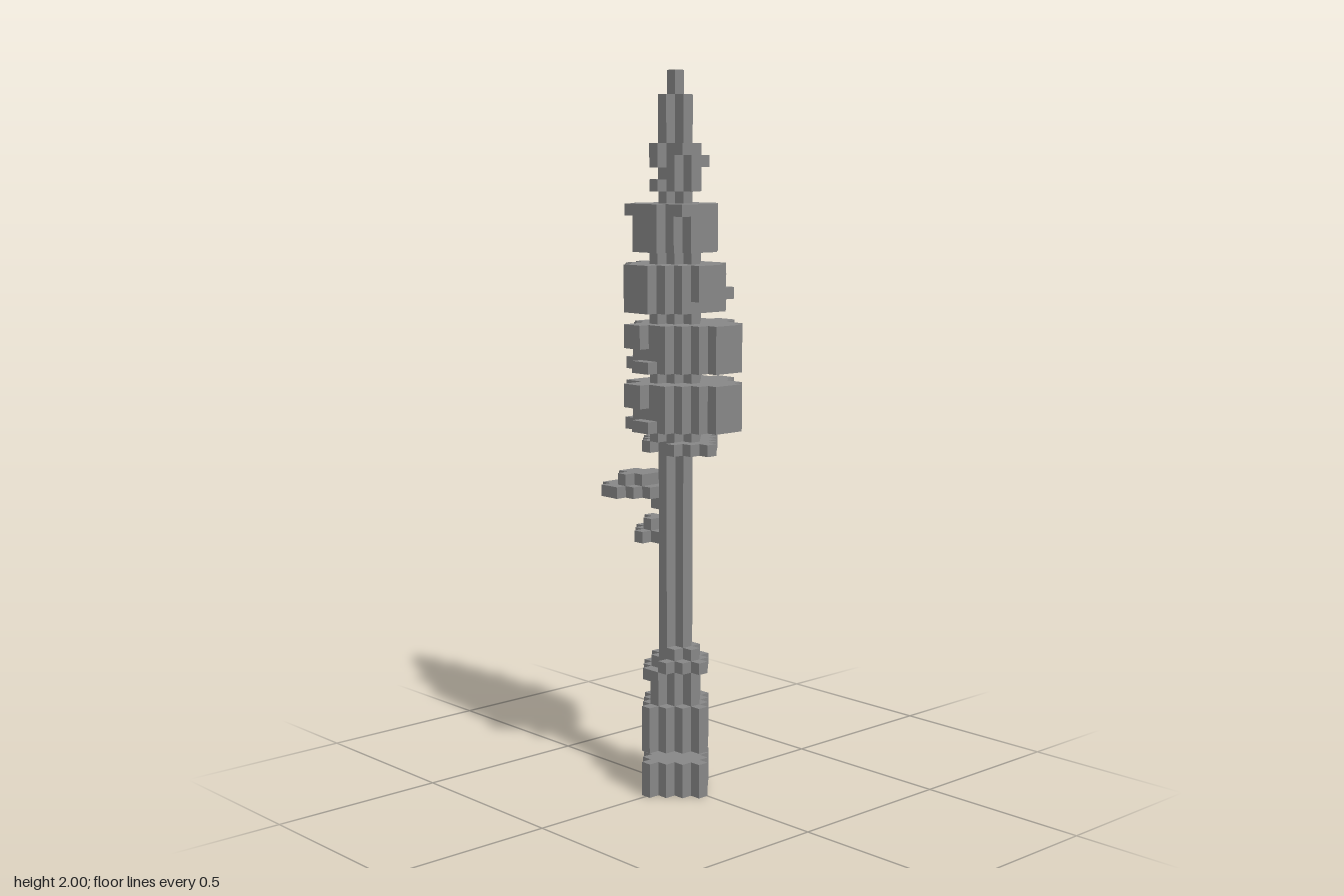
import * as THREE from 'three';

// Voxel tree: cell (i, j, k) is one small cube; i = k = 0 is the trunk axis.
const U = 2 / 62;
const SIDES = [
  [1, 0, 0], [-1, 0, 0], [0, 1, 0], [0, -1, 0], [0, 0, 1], [0, 0, -1],
];

export function createModel() {
  const group = new THREE.Group();
  const bark = new THREE.MeshStandardMaterial({ color: 0x888888 });
  bark.name = 'grey';

  const cells = new Map(); // "i,j,k" -> part name
  const key = (i, j, k) => `${i},${j},${k}`;
  const put = (part, i, j, k) => {
    if (!cells.has(key(i, j, k))) cells.set(key(i, j, k), part);
  };

  // Stepped diamond prism centred on (ci, ck), layers j0..j1
  const diamond = (part, ci, ck, r, j0, j1 = j0) => {
    for (let j = j0; j <= j1; j++)
      for (let i = -r; i <= r; i++)
        for (let k = -r; k <= r; k++)
          if (Math.abs(i) + Math.abs(k) <= r) put(part, ci + i, j, ck + k);
  };

  // Prism from rows of [first i, last i], starting at row k0
  const slab = (part, j0, j1, k0, rows) => {
    for (let j = j0; j <= j1; j++)
      rows.forEach(([a, b], n) => {
        for (let i = a; i <= b; i++) put(part, i, j, k0 + n);
      });
  };

  // Small seeded bumps on the sides of a tier, kept inside given limits
  let seed = 7;
  const rand = () => (seed = (seed * 16807) % 2147483647) / 2147483647;
  const bumps = (part, j0, j1, [iMin, iMax, kMin, kMax], chance) => {
    const added = [];
    for (let j = j0; j <= j1; j++)
      for (let i = iMin; i <= iMax; i++)
        for (let k = kMin; k <= kMax; k++) {
          if (cells.has(key(i, j, k))) continue;
          const touching = SIDES.some(([x, y, z]) => y === 0 && cells.has(key(i + x, j, k + z)));
          if (touching && rand() < chance) added.push([i, j, k]);
        }
    added.forEach((c) => put(part, ...c));
  };

  // Base and trunk
  diamond('base', 0, 0, 3, 0, 2);
  diamond('lowerTrunk', 0, 0, 3, 4, 7);
  diamond('lowerTrunk', 0, 0, 2, 8, 10);
  diamond('trunk', 0, 0, 1, 11, 59);

  // Shelves around the trunk, each a wide plate under a smaller one
  for (const [ci, ck, j] of [[0, 1, 11], [0, -1, 10], [0, -2, 22]]) {
    diamond('shelf', ci, ck, 2, j);
    diamond('shelf', ci, ck, 1, j + 1);
  }
  diamond('shelf', 0, -1, 1, 25);
  slab('shelf', 26, 26, -5, [[-3, 0], [-4, 1], [-4, 1], [-3, 1], [-2, 0]]);
  slab('shelf', 27, 27, -4, [[-2, -1], [-3, 0], [-2, 0]]);

  // Ragged underside of the crown
  diamond('crownUnderside', 2, 0, 2, 30);
  diamond('crownUnderside', 0, 2, 2, 30);
  diamond('crownUnderside', 0, -1, 2, 30);

  // Narrow necks between the tiers
  for (const j of [31, 36, 41, 46]) diamond('neck', 0, 0, 2, j);

  // Two widest tiers
  const wide = [[-1, 2], [-2, 3], [-3, 4], [-3, 5], [-3, 5], [-3, 4], [-2, 3], [-1, 3], [0, 2]];
  for (const j of [32, 37]) {
    slab('wideTier', j, j + 3, -3, wide.map(([a, b], n) => {
      if (n < 2) return [a, Math.min(b, 2)];
      return [a, b];
    }));
    slab('wideTier', j, j, 0, [[-4, -4], [-4, -4]]);
    slab('wideTier', j + 2, j + 3, -1, [[-4, -4], [-4, -4]]);
    slab('wideTier', j + 1, j + 2, -4, [[0, 0]]);
    bumps('wideTier', j, j + 3, [-3, 3, -3, 3], 0.16);
  }

  // Middle tier
  slab('middleTier', 42, 45, -3, [[-2, 1], [-3, 2], [-4, 3], [-4, 3], [-4, 3], [-3, 3], [-2, 2]]);
  slab('middleTier', 43, 45, 4, [[-1, 1]]);
  slab('middleTier', 43, 44, 0, [[4, 4], [4, 4]]);
  slab('middleTier', 43, 43, -4, [[-1, 0]]);
  slab('middleTier', 45, 45, -4, [[0, 0]]);
  bumps('middleTier', 42, 45, [-3, 3, -3, 3], 0.16);

  // Upper tier
  slab('upperTier', 47, 50, -3, [[-1, 1], [-2, 2], [-3, 3], [-3, 3], [-3, 3], [-2, 2], [-1, 1]]);
  slab('upperTier', 47, 47, 0, [[4, 4]]);
  bumps('upperTier', 47, 50, [-3, 3, -3, 3], 0.12);

  // Small broken tier and the spire
  diamond('smallTier', 0, 0, 2, 52);
  slab('smallTier', 53, 53, -1, [[0, 2], [-1, 2], [-1, 1], [0, 0]]);
  diamond('smallTier', 0, 0, 2, 54);
  slab('smallTier', 55, 55, -1, [[-1, 0], [-2, 1], [-1, 1], [0, 0]]);
  bumps('smallTier', 52, 55, [-1, 2, -1, 2], 0.25);
  diamond('spire', 0, 0, 0, 60, 61);

  // Turn each part's exposed cube faces into one mesh
  const parts = new Map();
  for (const [id, part] of cells) {
    if (!parts.has(part)) parts.set(part, []);
    const out = parts.get(part);
    const [i, j, k] = id.split(',').map(Number);
    const centre = new THREE.Vector3(i - 0.5, j + 0.5, k);
    for (const [x, y, z] of SIDES) {
      if (cells.has(key(i + x, j + y, k + z))) continue;
      const n = new THREE.Vector3(x, y, z);
      const a = new THREE.Vector3(y, z, x);
      const b = n.clone().cross(a);
      const corner = (s, t) => centre.clone().addScaledVector(n, 0.5)
        .addScaledVector(a, s / 2).addScaledVector(b, t / 2).multiplyScalar(U).toArray();
      const [p, q, r, s] = [corner(-1, -1), corner(1, -1), corner(1, 1), corner(-1, 1)];
      out.push(...p, ...q, ...r, ...p, ...r, ...s);
    }
  }
  for (const [name, points] of parts) {
    const geometry = new THREE.BufferGeometry();
    geometry.setAttribute('position', new THREE.Float32BufferAttribute(points, 3));
    geometry.computeVertexNormals();
    const mesh = new THREE.Mesh(geometry, bark);
    mesh.name = name;
    group.add(mesh);
  }
  return group;
}
